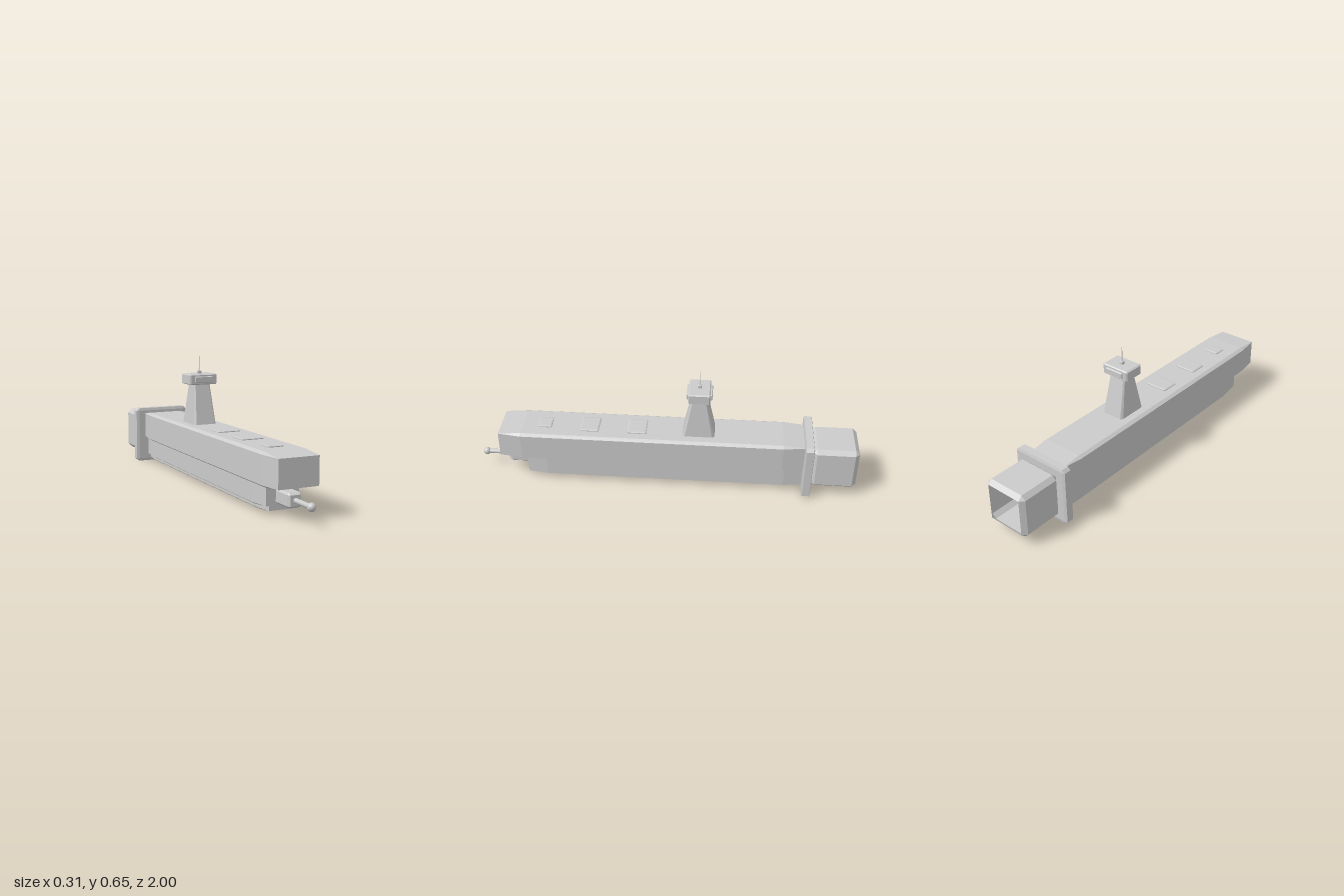
import * as THREE from 'three';
import { ConvexGeometry } from 'three/addons/geometries/ConvexGeometry.js';

const grey = new THREE.MeshStandardMaterial({ color: 0xcccccc, flatShading: true });
const smoothGrey = new THREE.MeshStandardMaterial({ color: 0xcccccc });
const openGrey = new THREE.MeshStandardMaterial({ color: 0xcccccc, flatShading: true, side: THREE.DoubleSide });

// Box with chamfered edges; x, y, z are [min, max], bevel is [bx, by, bz],
// taper scales the top end in x and z.
function chamferBox(x, y, z, bevel, taper = [1, 1]) {
  const mid = [x, y, z].map(([a, b]) => (a + b) / 2);
  const half = [x, y, z].map(([a, b]) => (b - a) / 2);
  const points = [];
  for (const sx of [-1, 1]) for (const sy of [-1, 1]) for (const sz of [-1, 1]) {
    for (let face = 0; face < 3; face++) {
      const p = [sx, sy, sz].map((s, i) => s * (half[i] - (i === face ? 0 : bevel[i])));
      const t = (p[1] / half[1] + 1) / 2;
      p[0] *= 1 + (taper[0] - 1) * t;
      p[2] *= 1 + (taper[1] - 1) * t;
      points.push(new THREE.Vector3(p[0] + mid[0], p[1] + mid[1], p[2] + mid[2]));
    }
  }
  return new ConvexGeometry(points);
}

// Remove the flat rear face so the shell is open to the back.
function openRear(geometry) {
  const pos = geometry.attributes.position;
  const nor = geometry.attributes.normal;
  const kept = [];
  for (let i = 0; i < pos.count; i += 3) {
    if (nor.getZ(i) < -0.95) continue;
    for (let k = i; k < i + 3; k++) kept.push(pos.getX(k), pos.getY(k), pos.getZ(k));
  }
  const open = new THREE.BufferGeometry();
  open.setAttribute('position', new THREE.Float32BufferAttribute(kept, 3));
  open.computeVertexNormals();
  return open;
}

export function createModel() {
  const model = new THREE.Group();
  const add = (name, geometry, material = grey) => {
    const mesh = new THREE.Mesh(geometry, material);
    mesh.name = name;
    model.add(mesh);
    return mesh;
  };
  const sym = (h) => [-h, h];

  // Long hull in three stacked layers
  add('upperHull', chamferBox(sym(0.12), [0.137, 0.296], [-0.73, 0.875], [0.017, 0.011, 0.12]));
  add('lowerHull', chamferBox(sym(0.1), [0.035, 0.146], [-0.73, 0.735], [0.015, 0.009, 0.105]));
  add('keel', chamferBox(sym(0.084), [0.012, 0.075], [-0.73, 0.735], [0.014, 0.009, 0.105]));

  // Engine collar and open nozzle
  add('engineCollar', chamferBox(sym(0.157), [0, 0.315], [-0.766, -0.72], [0.016, 0.015, 0.004]));
  add('engineNozzle', openRear(chamferBox(sym(0.12), [0.045, 0.28], [-1, -0.762], [0.022, 0.021, 0.022])), openGrey);

  // Deck hatches: centre z, half width, half depth
  for (const [z, w, d] of [[0.15, 0.06, 0.05], [0.4, 0.06, 0.05], [0.637, 0.042, 0.036]]) {
    add('deckHatch', chamferBox(sym(w), [0.289, 0.303], [z - d, z + d], [0.008, 0.003, 0.006]));
  }

  // Bridge tower
  const tz = -0.171;
  const around = (h) => [tz - h, tz + h];
  add('tower', chamferBox(sym(0.064), [0.29, 0.515], around(0.085), [0.01, 0.006, 0.013], [0.7, 0.43]));
  add('bridge', chamferBox(sym(0.078), [0.506, 0.562], around(0.056), [0.008, 0.005, 0.006]));
  add('bridgeWindows', chamferBox(sym(0.051), [0.518, 0.55], around(0.066), [0.004, 0.003, 0.004]));

  // Antenna
  add('antennaBase', chamferBox(sym(0.01), [0.557, 0.578], around(0.01), [0.002, 0.002, 0.002]));
  add('antenna', new THREE.CylinderGeometry(0.0012, 0.0028, 0.082, 8), smoothGrey).position.set(0, 0.614, tz);

  // Bow probe
  add('probeMount', chamferBox(sym(0.035), [0.052, 0.121], [0.7, 0.85], [0.009, 0.009, 0.015]));
  const rod = add('probeRod', new THREE.CylinderGeometry(0.012, 0.012, 0.14, 16), smoothGrey);
  rod.rotation.x = Math.PI / 2;
  rod.position.set(0, 0.087, 0.91);
  add('probeTip', new THREE.SphereGeometry(0.02, 20, 14), smoothGrey).position.set(0, 0.087, 0.98);

  return model;
}
